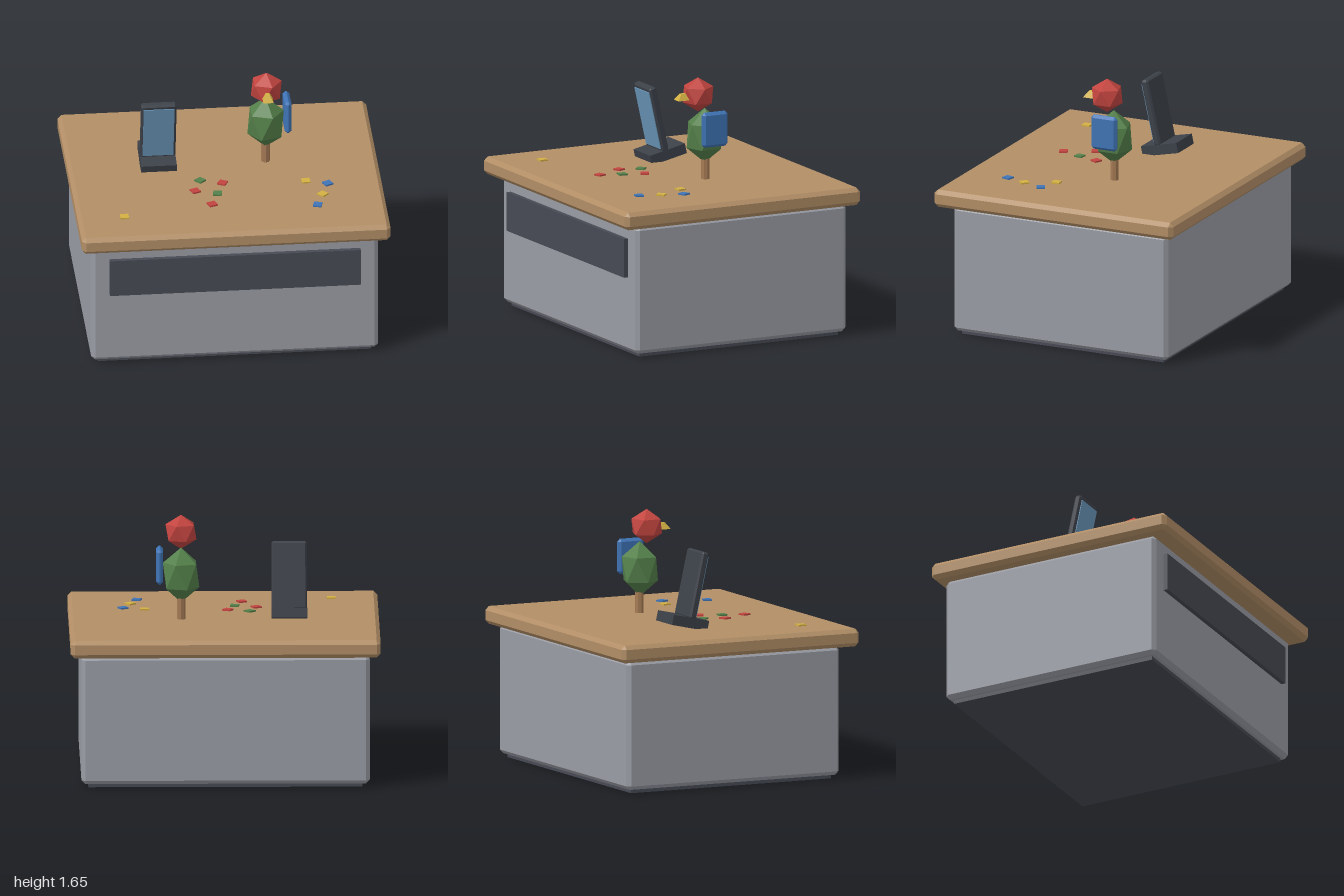
import * as THREE from 'three';
import { ConvexGeometry } from 'three/addons/geometries/ConvexGeometry.js';

function material(name, color) {
  const m = new THREE.MeshStandardMaterial({ color, flatShading: true });
  m.name = name;
  return m;
}

// Box with every edge cut at 45 degrees
function chamferBox(w, h, d, c) {
  const points = [];
  const [x, y, z] = [w / 2, h / 2, d / 2];
  for (const sx of [-1, 1]) for (const sy of [-1, 1]) for (const sz of [-1, 1]) {
    points.push(
      new THREE.Vector3(sx * x, sy * (y - c), sz * (z - c)),
      new THREE.Vector3(sx * (x - c), sy * y, sz * (z - c)),
      new THREE.Vector3(sx * (x - c), sy * (y - c), sz * z));
  }
  return new ConvexGeometry(points);
}

// Icosahedron standing on one of its corners
function gem(radius) {
  return new THREE.IcosahedronGeometry(radius, 0).rotateZ(-0.5536);
}

function add(parent, name, geometry, mat, x, y, z) {
  const mesh = new THREE.Mesh(geometry, mat);
  mesh.name = name;
  mesh.position.set(x, y, z);
  parent.add(mesh);
  return mesh;
}

export function createModel() {
  const model = new THREE.Group();
  model.name = 'counter';

  const wood = material('wood', 0xb28e66);
  const grey = material('grey', 0x999ca4);
  const dark = material('dark', 0x474a54);
  const casing = material('casing', 0x3c4149);
  const glass = material('glass', 0x6c9abd);
  const red = material('red', 0xc2443f);
  const green = material('green', 0x54804a);
  const blue = material('blue', 0x3f74b6);
  const yellow = material('yellow', 0xd3b043);
  const perchWood = material('perchWood', 0xa67b55);

  // Counter
  add(model, 'plinth', new THREE.BoxGeometry(1.77, 0.04, 1.445), dark, 0, 0.02, -0.022);
  add(model, 'cabinet', chamferBox(1.86, 0.84, 1.535, 0.025), grey, 0, 0.445, -0.022);
  add(model, 'frontPanel', new THREE.BoxGeometry(1.625, 0.255, 0.04), dark, 0, 0.642, 0.755);
  add(model, 'counterTop', chamferBox(2, 0.116, 1.715, 0.026), wood, 0, 0.922, -0.002);

  // Display leaning forward on its foot
  const display = new THREE.Group();
  display.name = 'display';
  display.position.set(-0.42, 1.023, -0.137);
  display.rotation.x = 0.22;
  model.add(display);
  add(display, 'displayFoot', new THREE.BoxGeometry(0.23, 0.067, 0.26), casing, 0, 0, 0);
  add(display, 'displayCase', chamferBox(0.23, 0.44, 0.05, 0.012), casing, 0, 0.245, 0.012);
  add(display, 'screen', new THREE.BoxGeometry(0.2, 0.39, 0.008), glass, 0, 0.242, 0.038);

  // Bird on a perch
  const bird = new THREE.Group();
  bird.name = 'bird';
  bird.position.set(0.278, 0, 0);
  model.add(bird);
  add(bird, 'perch', new THREE.CylinderGeometry(0.028, 0.028, 0.2, 8), perchWood, 0, 1.07, -0.098);
  add(bird, 'body', gem(0.132), green, 0, 1.267, -0.094).scale.y = 0.18 / 0.132;
  add(bird, 'head', gem(0.112), red, 0, 1.541, -0.045);
  const beak = new THREE.CylinderGeometry(0.35 * Math.SQRT2, Math.SQRT2, 1, 4).rotateY(Math.PI / 4);
  add(bird, 'beak', beak, yellow, 0, 1.536, 0.065).scale.set(0.033, 0.042, 0.048);
  add(bird, 'wing', chamferBox(0.044, 0.23, 0.185, 0.018), blue, 0.139, 1.332, -0.093);

  // Loose square tiles: material, x, z, turn in degrees
  const tiles = [
    [green, -0.168, 0.136, 42], [red, -0.028, 0.182, -27], [red, -0.212, 0.274, 22],
    [green, -0.073, 0.322, -6], [red, -0.12, 0.461, 20], [yellow, -0.7, 0.575, 0],
    [yellow, 0.51, 0.206, 5], [blue, 0.648, 0.252, 26], [yellow, 0.602, 0.392, 45],
    [blue, 0.556, 0.531, -14],
  ];
  const tileShape = new THREE.BoxGeometry(0.055, 0.014, 0.055);
  for (const [mat, x, z, turn] of tiles) {
    add(model, 'tile', tileShape, mat, x, 0.983, z).rotation.y = THREE.MathUtils.degToRad(turn);
  }

  return model;
}
